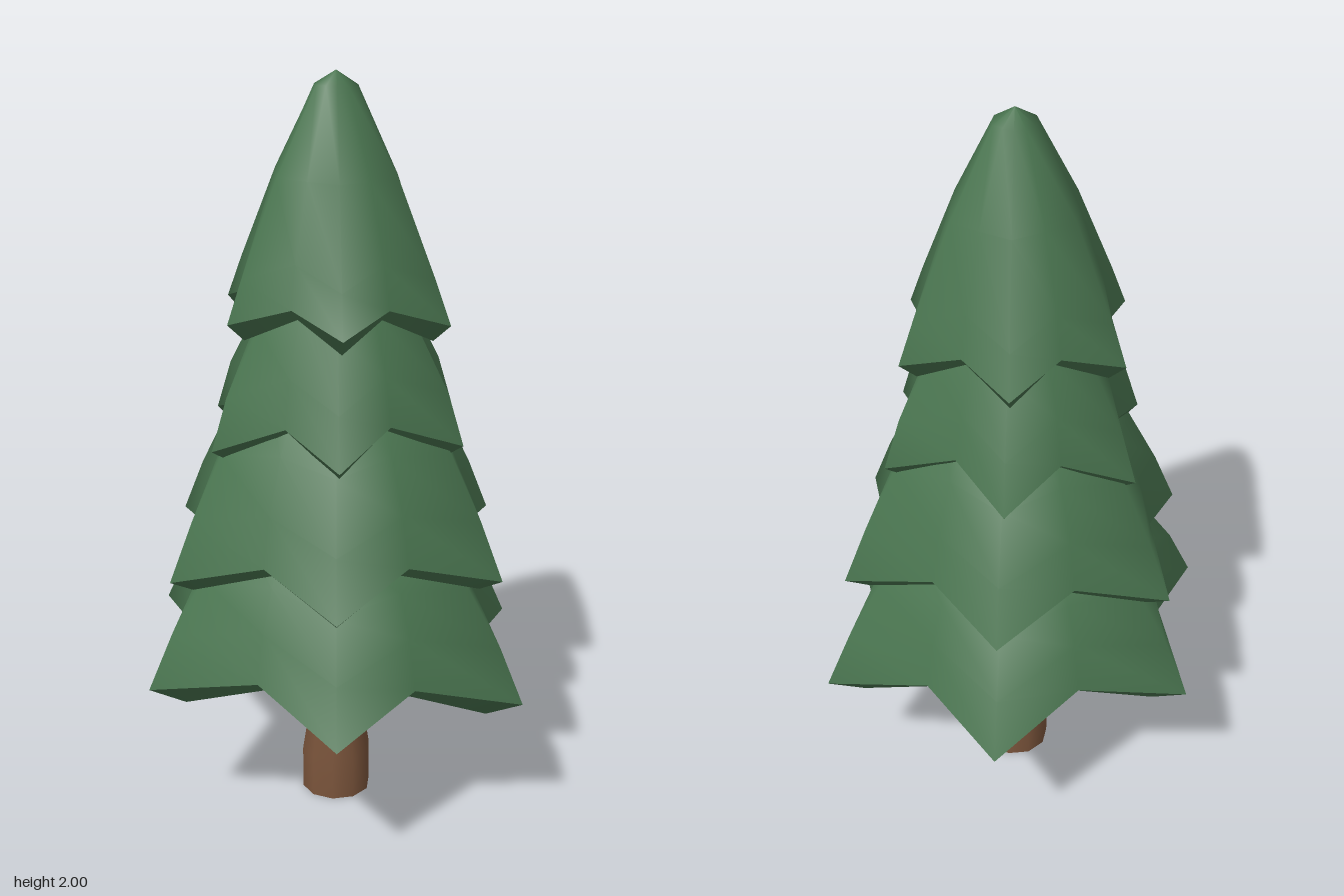
import * as THREE from 'three';

const POINTS = 6;

// Surface through star-shaped rings listed from top to bottom.
// Each ring is [tip radius, tip height, valley radius, valley height].
function starSurface(rings, tilt, turn) {
  const n = POINTS * 2, pos = [], index = [];
  rings.forEach(([rTip, yTip, rValley, yValley], i) => {
    for (let j = 0; j < n; j++) {
      const a = (j / n) * Math.PI * 2 + turn;
      const tip = j % 2 === 0;
      const r = tip ? rTip : rValley;
      const x = Math.cos(a) * r, z = Math.sin(a) * r;
      pos.push(x, (tip ? yTip : yValley) + tilt[0] * x + tilt[1] * z, z);
      if (i === rings.length - 1) continue;
      const k = (j + 1) % n;
      const a0 = i * n + j, b0 = i * n + k, a1 = a0 + n, b1 = b0 + n;
      index.push(a0, b0, a1, b0, b1, a1);
    }
  });
  const geo = new THREE.BufferGeometry();
  geo.setAttribute('position', new THREE.Float32BufferAttribute(pos, 3));
  geo.setIndex(index);
  geo.computeVertexNormals();
  return geo;
}

// Bough tiers from the ground up; lip is the inner lower edge of the thick rim
const TIERS = [
  {
    name: 'bottomBoughs', tilt: [-0.027, -0.045], turn: 0,
    skin: [[0, 0.95, 0, 0.95], [0.3, 0.85, 0.27, 0.85], [0.4, 0.71, 0.33, 0.73],
      [0.495, 0.57, 0.375, 0.62], [0.565, 0.425, 0.405, 0.49]],
    lip: [0.46, 0.365, 0.36, 0.455], hollow: 0.55,
  },
  {
    name: 'lowerBoughs', tilt: [0.02, -0.03], turn: 0,
    skin: [[0, 1.33, 0, 1.33], [0.2, 1.25, 0.19, 1.25], [0.34, 1.06, 0.28, 1.08],
      [0.43, 0.89, 0.335, 0.94], [0.495, 0.74, 0.367, 0.81]],
    lip: [0.43, 0.705, 0.325, 0.775], hollow: 0.85,
  },
  {
    name: 'upperBoughs', tilt: [0.02, 0], turn: -0.02,
    skin: [[0, 1.63, 0, 1.63], [0.13, 1.56, 0.12, 1.57], [0.23, 1.38, 0.185, 1.42],
      [0.325, 1.21, 0.24, 1.27], [0.37, 1.075, 0.265, 1.145]],
    lip: [0.325, 1.045, 0.235, 1.12], hollow: 1.2,
  },
  {
    name: 'crown', tilt: [-0.02, 0], turn: -0.05,
    skin: [[0, 2.0, 0, 2.0], [0.058, 1.965, 0.055, 1.965], [0.175, 1.745, 0.155, 1.745],
      [0.28, 1.5, 0.218, 1.55], [0.323, 1.39, 0.242, 1.44]],
    lip: [0.275, 1.345, 0.21, 1.41], hollow: 1.48,
  },
];

export function createModel() {
  const model = new THREE.Group();
  model.name = 'pineTree';
  const needles = new THREE.MeshStandardMaterial({ color: 0x4a7550 });
  needles.name = 'needleGreen';
  const bark = new THREE.MeshStandardMaterial({ color: 0x7a543b });
  bark.name = 'barkBrown';

  // Trunk with a flared foot
  const profile = [[0.095, 0], [0.095, 0.12], [0.081, 0.21], [0.074, 0.36], [0.07, 0.65]]
    .map(([r, y]) => new THREE.Vector2(r, y));
  const trunk = new THREE.Mesh(new THREE.LatheGeometry(profile, 10), bark);
  trunk.name = 'trunk';
  const base = new THREE.Mesh(new THREE.CircleGeometry(0.095, 10).rotateX(Math.PI / 2), bark);
  base.name = 'trunkBase';
  // line the base corners up with the lathe corners
  base.rotation.y = Math.PI / 2;
  model.add(trunk, base);

  // Tiers: outer skin, rim and hollow underside are separate so the rim stays crisp
  for (const { name, skin, lip, hollow, tilt, turn } of TIERS) {
    const tier = new THREE.Group();
    tier.name = name;
    const parts = {
      Skin: skin,
      Rim: [skin[skin.length - 1], lip],
      Underside: [lip, [0, hollow, 0, hollow]],
    };
    for (const [part, rings] of Object.entries(parts)) {
      const mesh = new THREE.Mesh(starSurface(rings, tilt, turn), needles);
      mesh.name = name + part;
      tier.add(mesh);
    }
    model.add(tier);
  }
  return model;
}
